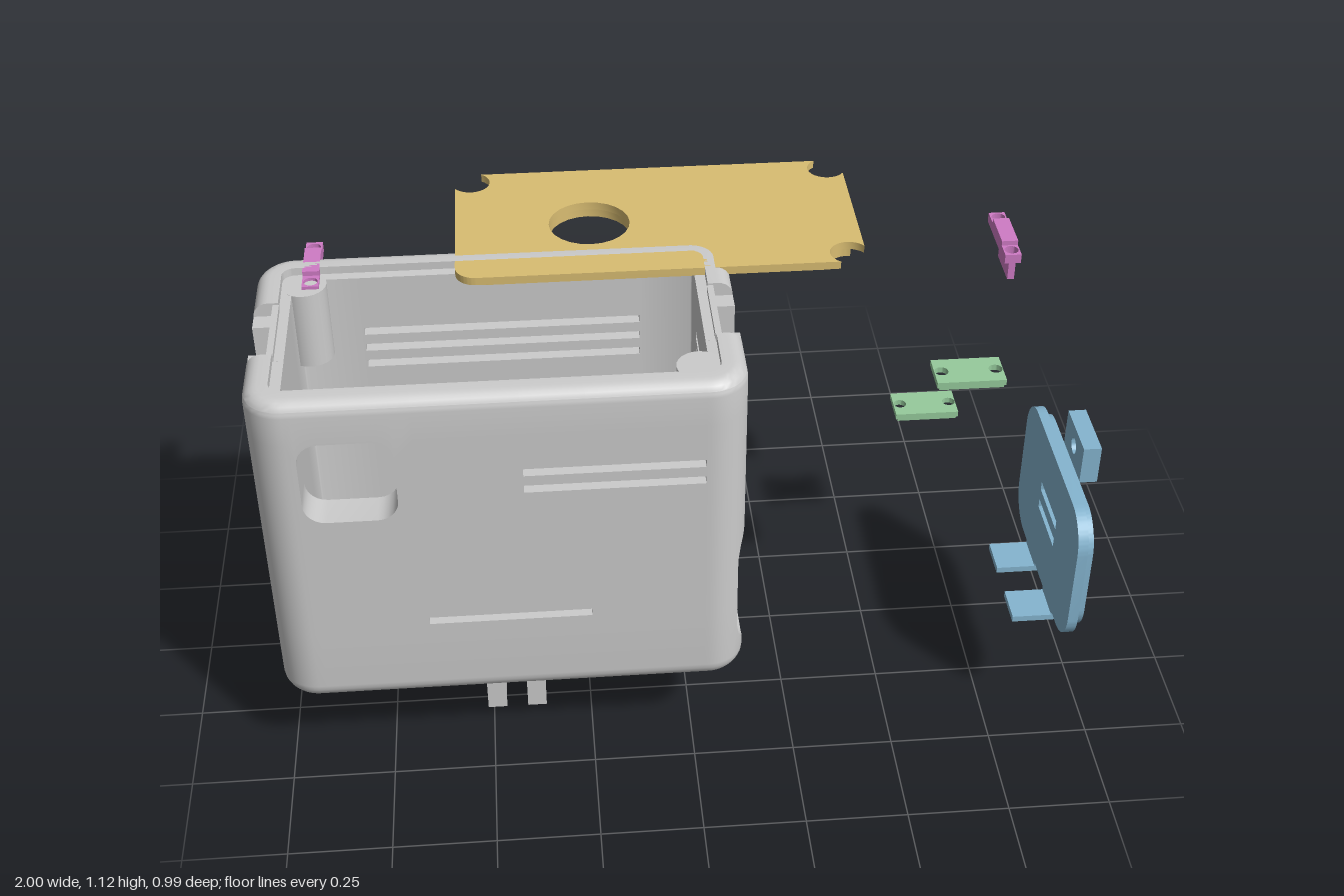
import * as THREE from 'three';
import { toCreasedNormals } from 'three/addons/utils/BufferGeometryUtils.js';

const mat = (color) => new THREE.MeshStandardMaterial({ color });
const GREY = mat(0xcccccc), YELLOW = mat(0xd9bd72), PINK = mat(0xcf7bc5), BLUE = mat(0x85b5d0), GREEN = mat(0x96cb9c);
const CX = -0.4375, CZ = 0.1675, HX = 0.5625, HZ = 0.3125, R = 0.09, Y0 = 0.235, Y1 = 1.12;

function add(parent, name, geometry, material) {
  const mesh = new THREE.Mesh(geometry, material);
  mesh.name = name;
  parent.add(mesh);
  return mesh;
}
// box from its limits
function box(x0, x1, y0, y1, z0, z1) {
  return new THREE.BoxGeometry(x1 - x0, y1 - y0, z1 - z0).translate((x0 + x1) / 2, (y0 + y1) / 2, (z0 + z1) / 2);
}
function roundRect(x0, x1, y0, y1, r, Type = THREE.Shape) {
  const s = new Type();
  if (r === 0) return s.moveTo(x0, y0).lineTo(x1, y0).lineTo(x1, y1).lineTo(x0, y1).lineTo(x0, y0);
  s.absarc(x1 - r, y0 + r, r, -Math.PI / 2, 0);
  s.absarc(x1 - r, y1 - r, r, 0, Math.PI / 2);
  s.absarc(x0 + r, y1 - r, r, Math.PI / 2, Math.PI);
  s.absarc(x0 + r, y0 + r, r, Math.PI, Math.PI * 1.5);
  s.closePath();
  return s;
}
const disc = (x, y, r) => new THREE.Path().absarc(x, y, r, 0, Math.PI * 2);
function extrude(shape, depth) {
  const g = new THREE.ExtrudeGeometry(shape, { depth, bevelEnabled: false, curveSegments: 12 });
  return toCreasedNormals(g, 0.6);
}
// shape given as (-z, y), extruded along x
const extrudeX = (shape, x0, x1) => extrude(shape, x1 - x0).rotateY(Math.PI / 2).translate(x0, 0, 0);
// shape given as (x, -z), extruded upwards
const extrudeY = (shape, y0, y1) => extrude(shape, y1 - y0).rotateX(-Math.PI / 2).translate(0, y0, 0);

// openings in the case: side, range along the side, height range, corner radius
const HOLES = [
  ['+x', -0.1098, 0.4448, 0.29, 0.67, 0.09],
  ['+x', 0.15, 0.19, 0.68, 0.72, 0.02],
  ['-x', 0.335, 0.405, 0.825, 0.895, 0.035],
  ['+z', -0.89, -0.675, 0.79, 1.01, 0.05],
];
const slot = (side, a, b, y, h = 0.01) => HOLES.push([side, a, b, y - h, y + h, 0]);
for (const y of [0.858, 0.905]) slot('+z', -0.39, 0.025, y);
slot('+z', -0.63, -0.245, 0.477);
for (const y of [0.853, 0.9, 0.947]) slot('-z', -0.76, -0.09, y);
for (const y of [0.477, 0.525]) slot('-z', -0.64, -0.23, y);
for (const y of [0.915, 0.962]) slot('+x', 0.043, 0.3, y, 0.011);
for (const y of [0.46, 0.516]) slot('-x', 0.1, 0.3, y, 0.012);
for (const s of ['+x', '-x']) {
  HOLES.push([s, 0.065, 0.275, 1.085, 1.2, 0], [s, 0.113, 0.225, 1.007, 1.085, 0]);
}

const sideOf = (nx, nz) => (Math.abs(nx) > Math.abs(nz) ? (nx > 0 ? '+x' : '-x') : (nz > 0 ? '+z' : '-z'));
const sorted = (list) => [...new Set(list.map((v) => +v.toFixed(4)))].sort((a, b) => a - b);

// walls: a grid wrapped round the rounded plan, with the cells of the openings left out
function wallGeometry() {
  const points = [];
  const ex = HX - R, ez = HZ - R;
  ['+z', '+x', '-z', '-x'].forEach((side, k) => {
    const along = side[1] === 'z';
    const c = along ? CX : CZ, half = along ? ex : ez;
    const list = [c - half, c + half];
    for (const [s, a, b, , , r] of HOLES) {
      if (s !== side) continue;
      list.push(a, b);
      for (let i = 1; r && i <= 6; i++) {
        const d = r * (1 - Math.cos((i * Math.PI) / 12));
        list.push(a + d, b - d);
      }
    }
    const ts = sorted(list.filter((t) => t >= c - half - 1e-6 && t <= c + half + 1e-6));
    if (k === 1 || k === 2) ts.reverse();
    const ang = (k * Math.PI) / 2, nx = Math.sin(ang), nz = Math.cos(ang);
    for (const t of ts) points.push({ x: along ? t : CX + nx * ex, z: along ? CZ + nz * ez : t, nx, nz });
    const last = points[points.length - 1];
    for (let i = 1; i < 12; i++) {
      const a = ang + (i * Math.PI) / 24;
      points.push({ x: last.x, z: last.z, nx: Math.sin(a), nz: Math.cos(a) });
    }
  });
  for (const p of points) {
    p.side = sideOf(p.nx, p.nz);
    p.t = p.side[1] === 'z' ? p.x + p.nx * R : p.z + p.nz * R;
  }
  const ys = [1.0995, 1.1];
  for (let i = 0; i <= 6; i++) {
    const a = (i * Math.PI) / 12;
    ys.push(Y0 + 0.05 * (1 - Math.cos(a)), Y1 - 0.035 * (1 - Math.cos(a)));
  }
  for (const h of HOLES) ys.push(h[3], Math.min(h[4], Y1));
  const rows = sorted(ys);
  const round = (d, r) => (d >= r ? 0 : r - Math.sqrt(Math.max(0, r * r - (r - d) ** 2)));
  const inset = (y) => Math.max(round(y - Y0, 0.05), round(Y1 - y, 0.035));
  const n = points.length, m = rows.length - 1;

  const vertex = (i, j, inner) => {
    const p = points[(i + n) % n];
    let y = rows[j];
    const off = R - (inner ? (y >= 1.1 ? 0.06 : 0.085) : inset(y));
    for (const [s, a, b, y0, y1, r] of HOLES) {
      if (!r || s !== p.side || p.t < a - 1e-3 || p.t > b + 1e-3 || y < y0 - 1e-4 || y > y1 + 1e-4) continue;
      const cut = round(Math.max(0, Math.min(p.t - a, b - p.t)), r);
      y = Math.min(Math.max(y, y0 + cut), y1 - cut);
    }
    return [p.x + p.nx * off, y, p.z + p.nz * off];
  };
  const solid = (i, j) => {
    if (j < 0 || j >= m) return false;
    const p = points[(i + n) % n], q = points[(i + 1 + n) % n];
    const side = sideOf(p.nx + q.nx, p.nz + q.nz), y = (rows[j] + rows[j + 1]) / 2;
    const at = (o) => (side[1] === 'z' ? o.x + o.nx * R : o.z + o.nz * R);
    const t = (at(p) + at(q)) / 2;
    return !HOLES.some(([s, a, b, y0, y1]) => s === side && t > a && t < b && y > y0 && y < y1);
  };
  const pos = [];
  const quad = (a, b, c, d) => pos.push(...a, ...b, ...c, ...a, ...c, ...d);
  for (let i = 0; i < n; i++) for (let j = 0; j < m; j++) {
    if (!solid(i, j)) continue;
    const [a, b, c, d] = [[i, j], [i + 1, j], [i + 1, j + 1], [i, j + 1]].map(([u, v]) => vertex(u, v, false));
    const [e, f, g, h] = [[i, j], [i + 1, j], [i + 1, j + 1], [i, j + 1]].map(([u, v]) => vertex(u, v, true));
    quad(a, b, c, d);
    quad(f, e, h, g);
    if (!solid(i + 1, j)) quad(b, f, g, c);
    if (!solid(i - 1, j)) quad(a, d, h, e);
    if (!solid(i, j + 1)) quad(d, c, g, h);
    if (!solid(i, j - 1)) quad(b, a, e, f);
  }
  const geo = new THREE.BufferGeometry();
  geo.setAttribute('position', new THREE.Float32BufferAttribute(pos, 3));
  return toCreasedNormals(geo, 0.6);
}

// lid outline: three corners with round notches, one plain rounded corner
function lidShape(inset) {
  const pts = [];
  const hx = 0.495 - inset, hy = 0.246 - inset, c = 0.04 - inset, r = 0.048;
  for (const [sx, sy] of [[-1, -1], [1, -1], [1, 1], [-1, 1]]) {
    const plain = sx < 0 && sy < 0, k = plain ? 0.05 : c, rad = plain ? 0.05 : r;
    const a0 = plain ? Math.PI : Math.acos(-c / r), a1 = plain ? Math.PI * 1.5 : -Math.asin(c / r);
    const arc = [];
    for (let i = 0; i <= 16; i++) {
      const a = a0 + ((a1 - a0) * i) / 16;
      arc.push(new THREE.Vector2(-0.035 + sx * (hx - k - rad * Math.cos(a)), 0.251 + sy * (hy - k - rad * Math.sin(a))));
    }
    pts.push(...(sx * sy > 0 ? arc : arc.reverse()));
  }
  const shape = new THREE.Shape(pts);
  shape.holes.push(disc(-0.2, 0.235, 0.1));
  return shape;
}

export function createModel() {
  const model = new THREE.Group();
  const group = (name) => { const g = new THREE.Group(); g.name = name; model.add(g); return g; };

  // case
  const body = group('case');
  add(body, 'walls', wallGeometry(), GREY);
  add(body, 'floor', extrudeY(roundRect(CX - HX + 0.05, CX + HX - 0.05, -CZ - HZ + 0.05, -CZ + HZ - 0.05, 0.04), Y0, 0.285), GREY);
  for (const [x, z] of [[-0.89, -0.043], [0.02, 0.37]]) {
    add(body, 'screwPost', new THREE.CylinderGeometry(0.055, 0.055, 0.2, 24).translate(x, 1.0, z), GREY);
  }
  for (const s of [1, -1]) {
    const lo = add(body, 'clipSeat', box(0.04, 0.078, 1.0, 1.1, 0.065, 0.275), GREY);
    const hi = add(body, 'clipSeatRim', box(0.063, 0.078, 1.1, 1.115, 0.065, 0.275), GREY);
    if (s < 0) for (const p of [lo, hi]) p.geometry.rotateY(Math.PI).translate(2 * CX, 0, 2 * 0.17);
  }
  add(body, 'floorPlate', box(-0.17, 0.03, 0.28, 0.295, 0, 0.36), GREY);
  for (const z of [0.015, 0.21]) add(body, 'hookBlock', box(-0.035, 0.03, 0.28, 0.31, z, z + 0.11), GREY);
  add(body, 'innerRib', box(-0.66, -0.61, 0.28, 0.42, 0.235, 0.37), GREY);

  // mounting prongs
  const prong = roundRect(-0.29, -0.05, 0, 0.25, 0);
  prong.holes.push(disc(-0.172, 0.073, 0.04));
  for (const x of [-0.515, -0.413]) add(body, 'mountProng', extrudeX(prong, x, x + 0.048), GREY);

  // lid
  const lid = group('lid');
  add(lid, 'lidPlate', extrudeY(lidShape(0), 1.1, 1.12), YELLOW);
  add(lid, 'lidStep', extrudeY(lidShape(0.03), 1.08, 1.1), YELLOW);

  // side cover
  const cover = group('sideCover');
  const coverShape = (d) => {
    const s = roundRect(-0.495 + d, 0.055 - d, 0.287 + d, 0.667 - d, 0.09);
    for (const y of [0.449, 0.504]) s.holes.push(roundRect(-0.3, -0.14, y, y + 0.024, 0, THREE.Path));
    return s;
  };
  add(cover, 'coverPlate', extrudeX(coverShape(0), 0.913, 0.938), BLUE);
  add(cover, 'coverFace', extrudeX(coverShape(0.015), 0.938, 0.956), BLUE);
  const tab = roundRect(-0.3, -0.14, 0.648, 0.749, 0);
  tab.holes.push(disc(-0.218, 0.7, 0.021));
  add(cover, 'coverTab', extrudeX(tab, 0.956, 1.0), BLUE);
  for (const z of [0.076, 0.266]) {
    add(cover, 'coverHook', box(0.815, 0.93, 0.262, 0.278, z, z + 0.098), BLUE);
    add(cover, 'coverHookStem', box(0.913, 0.938, 0.262, 0.3, z, z + 0.098), BLUE);
  }

  // latch clips
  for (const [x, s] of [[0.817, 1], [-0.872, -1]]) {
    const clip = group('latchClip');
    const arms = roundRect(-0.02, 0.02, 0.019, 0.22, 0);
    for (const y of [0.043, 0.198]) arms.holes.push(disc(0, y, 0.017));
    add(clip, 'clipArms', extrudeY(arms, 1.084, 1.108), PINK);
    add(clip, 'clipHead', box(-0.02, 0.02, 1.084, 1.12, -0.172, -0.064), PINK);
    add(clip, 'clipWeb', box(0.003, 0.02, 1.01, 1.09, -0.172, -0.064), PINK);
    clip.position.x = x;
    if (s < 0) { clip.rotation.y = Math.PI; clip.position.z = -0.239; }
  }

  // cable clamps
  for (const [y, z] of [[0.945, 0.222], [0.543, -0.204]]) {
    const clamp = group('cableClamp');
    const plate = roundRect(-0.0825, 0.0825, -0.048, 0.048, 0);
    for (const x of [-0.065, 0.065]) plate.holes.push(disc(x, 0, 0.0165));
    add(clamp, 'clampPlate', extrudeY(plate, -0.015, 0), GREEN);
    const web = new THREE.Shape().moveTo(-0.012, -0.03).lineTo(0.012, -0.03)
      .quadraticCurveTo(0.018, -0.015, 0.035, -0.014).lineTo(-0.035, -0.014).quadraticCurveTo(-0.018, -0.015, -0.012, -0.03);
    add(clamp, 'clampWeb', extrudeX(web, -0.045, 0.045), GREEN);
    for (const s of [-1, 1]) add(clamp, 'clampEdge', box(-0.0775, 0.0775, -0.021, -0.014, s * 0.042 - 0.005, s * 0.042 + 0.005), GREEN);
    clamp.position.set(0.6725, y, z);
  }
  return model;
}
